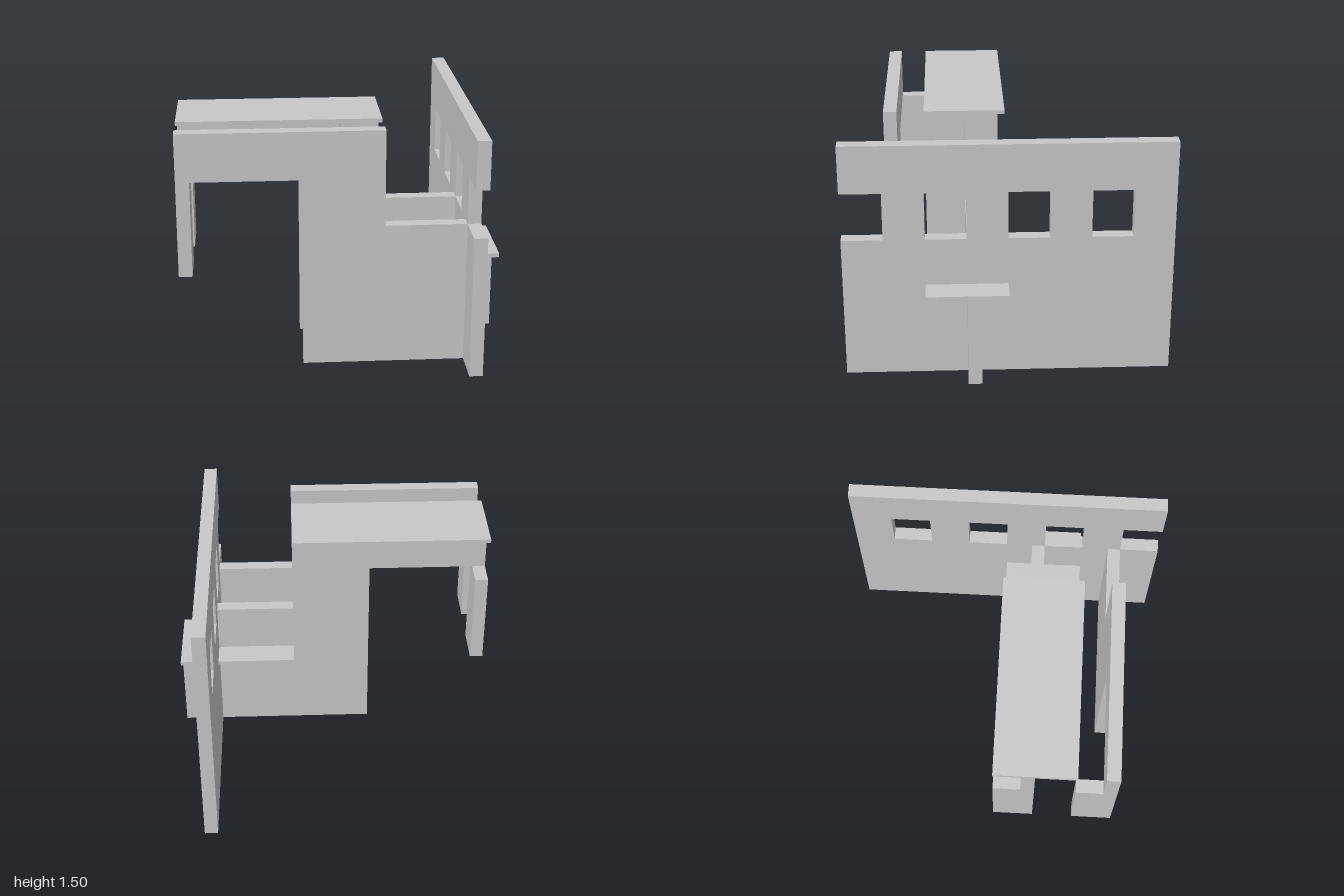
import * as THREE from 'three';

const T = 1 / 12; // wall thickness

export function createModel() {
  const model = new THREE.Group();
  const grey = new THREE.MeshStandardMaterial({ color: 0xc8c8c8 });
  grey.name = 'plaster grey';

  const add = (name, geometry) => {
    const mesh = new THREE.Mesh(geometry, grey);
    mesh.name = name;
    model.add(mesh);
    return mesh;
  };
  // Box given by its limits on each axis
  const block = (name, x0, x1, y0, y1, z0, z1) =>
    add(name, new THREE.BoxGeometry(x1 - x0, y1 - y0, z1 - z0))
      .position.set((x0 + x1) / 2, (y0 + y1) / 2, (z0 + z1) / 2);
  const outline = (pts) => pts.map(([x, y]) => new THREE.Vector2(x, y));
  const slab = (shape) => new THREE.ExtrudeGeometry(shape, { depth: T, bevelEnabled: false });

  // Long side wall: drawn in (-z, y), open notch at the front end, three windows
  const side = new THREE.Shape(outline([
    [-1, 0], [1, 0], [1, 1.5], [-1, 1.5], [-1, 1.2], [-0.75, 1.2], [-0.75, 0.9], [-1, 0.9],
  ]));
  for (const u of [-0.5, 0, 0.5]) {
    side.holes.push(new THREE.Path(outline([
      [u, 0.9], [u, 1.2], [u + 0.25, 1.2], [u + 0.25, 0.9],
    ])));
  }
  const sideWall = add('sideWall', slab(side));
  sideWall.rotation.y = Math.PI / 2;
  sideWall.position.x = 0.75;

  // Two parallel stepped walls with a wide opening, each ending in a hanging leg
  const stepped = new THREE.Shape(outline([
    [-0.25, 0], [0.75, 0], [0.75, 0.9], [0.25, 0.9],
    [0.25, 1.5], [-1, 1.5], [-1, 1.2], [-0.25, 1.2],
  ]));
  for (const [name, z] of [['middle', 0.25], ['front', 0.75]]) {
    add(name + 'Wall', slab(stepped)).position.z = z - T;
    block(name + 'Leg', -1, -1 + T, 0.6, 1.2, z - 0.25, z);
  }

  // Flat roof over the middle wall, with a pier and a bracket beneath
  block('roof', -1, 0.25, 1.475, 1.5, 0, 0.5);
  block('roofPier', 0, T, 0, 1.475, 0.25, 0.5);
  block('roofBracket', -0.5, -0.5 + T, 1.2, 1.475, 0.25, 0.5);

  // Shelf running through the side wall, held outside by a short stub wall
  block('innerShelf', 0.25, 0.75, 0.575, 0.6, 0, 0.5);
  block('outerShelf', 0.75 + T, 1, 0.575, 0.6, 0, 0.5);
  block('stubWall', 0.75 + T, 1, 0, 0.575, 0.25 - T, 0.25);

  return model;
}
